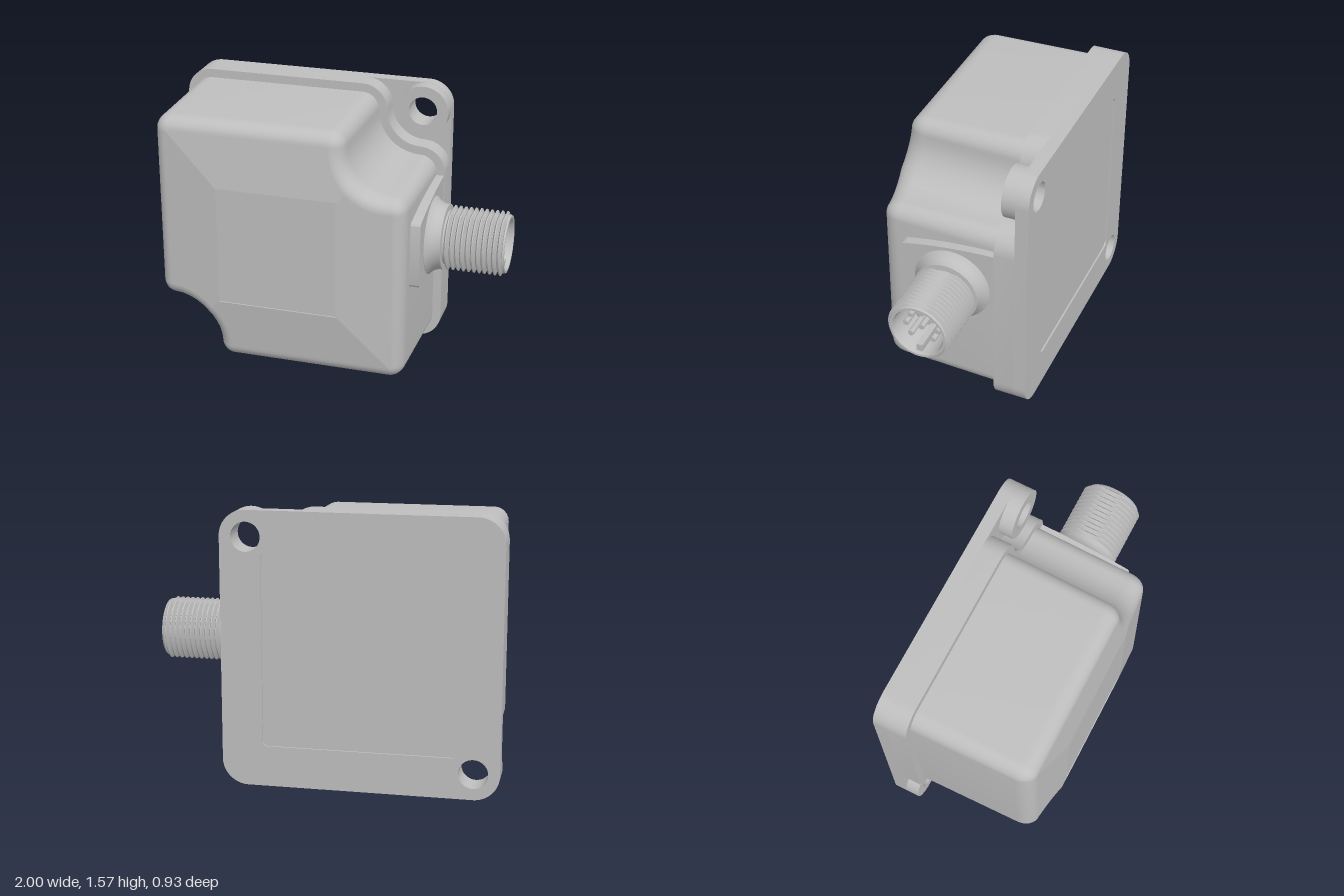
import * as THREE from 'three';
import { toCreasedNormals } from 'three/addons/utils/BufferGeometryUtils.js';

const CX = -0.2175, CY = 0.785;      // centre of the square housing
const C = 0.635, R = 0.0975, NOTCH = 0.25;
const LABEL = 0.347;                 // half size of the flat front panel
const HOLE = 0.083, BOSS = 0.147;

// Housing outline shrunk by d: square with two opposite corners scooped around the screw holes
function outline(d) {
  const half = [];
  const arc = (x, y, r, from, to) => {
    const n = 10;
    for (let i = 0; i <= n; i++) {
      const a = THREE.MathUtils.degToRad(from + ((to - from) * i) / n);
      half.push(new THREE.Vector2(x + r * Math.cos(a), y + r * Math.sin(a)));
    }
  };
  const r = Math.max(R - d, 0.003), inner = C - NOTCH - R;
  arc(C, -C, r, -90, 0);
  arc(C, inner, r, 0, 90);
  arc(C, C, NOTCH + d, 270, 180);
  arc(inner, C, r, 0, 90);
  return [...half, ...half.map((p) => new THREE.Vector2(-p.x, -p.y))];
}

// Skin a list of closed rings of Vector3
function loft(rings, crease) {
  const n = rings[0].length, index = [];
  for (let k = 0; k < rings.length - 1; k++) {
    for (let i = 0; i < n; i++) {
      const a = k * n + i, b = k * n + ((i + 1) % n);
      index.push(a, b, b + n, a, b + n, a + n);
    }
  }
  const geo = new THREE.BufferGeometry().setFromPoints(rings.flat());
  geo.setIndex(index);
  return toCreasedNormals(geo, crease);
}

function extrude(shape, depth) {
  const geo = new THREE.ExtrudeGeometry(shape, { depth, bevelEnabled: false, curveSegments: 32 });
  return toCreasedNormals(geo, 0.5);
}

function roundedSquare(h, r, Type = THREE.Shape) {
  const s = new Type(), k = h - r;
  s.absarc(k, -k, r, -Math.PI / 2, 0);
  s.absarc(k, k, r, 0, Math.PI / 2);
  s.absarc(-k, k, r, Math.PI / 2, Math.PI);
  s.absarc(-k, -k, r, Math.PI, Math.PI * 1.5);
  s.closePath();
  return s;
}

function circle(x, y, r, Type = THREE.Path) {
  const s = new Type();
  s.absarc(x, y, r, 0, Math.PI * 2);
  return s;
}

export function createModel() {
  const model = new THREE.Group();
  const grey = new THREE.MeshStandardMaterial({ color: 0xbebebe });
  grey.name = 'grey';
  const add = (name, geo, parent, x = 0, y = 0, z = 0) => {
    const mesh = new THREE.Mesh(geo, grey);
    mesh.name = name;
    mesh.position.set(x, y, z);
    parent.add(mesh);
    return mesh;
  };

  const housing = new THREE.Group();
  housing.name = 'housing';
  housing.position.set(CX, CY, 0);
  model.add(housing);

  // Mounting plate with a shallow recess in its back
  const plate = roundedSquare(0.7825, BOSS);
  plate.holes.push(circle(C, C, HOLE), circle(-C, -C, HOLE));
  add('mountingPlate', extrude(plate, 0.065), housing, 0, 0, -0.455);
  const backFrame = roundedSquare(0.7825, BOSS);
  backFrame.holes.push(circle(C, C, HOLE), circle(-C, -C, HOLE), roundedSquare(0.55, 0.03, THREE.Path));
  add('backFrame', extrude(backFrame, 0.01), housing, 0, 0, -0.465);

  // Raised rim and the two screw bosses
  add('rim', extrude(new THREE.Shape(outline(-0.05)), 0.12), housing, 0, 0, -0.39);
  for (const s of [1, -1]) {
    const boss = circle(s * C, s * C, BOSS, THREE.Shape);
    boss.holes.push(circle(s * C, s * C, HOLE));
    add('screwBoss', extrude(boss, 0.08), housing, 0, 0, -0.39);
  }

  // Cover: drafted walls and a rounded front edge
  const clampL = (v) => THREE.MathUtils.clamp(v, -LABEL, LABEL);
  const edge = outline(0.09).map((p) => {
    const out = Math.max(Math.abs(p.x), Math.abs(p.y)) - LABEL;
    return new THREE.Vector3(p.x, p.y, 0.465 - 0.12 * Math.max(out, 0));
  });
  const walls = [outline(0).map((p) => new THREE.Vector3(p.x, p.y, -0.27))];
  for (let k = 0; k <= 8; k++) {
    const t = (k / 8) * Math.PI / 2;
    const ring = outline(0.012 + 0.078 * (1 - Math.cos(t)));
    walls.push(ring.map((p, i) => new THREE.Vector3(p.x, p.y, 0.33 + (edge[i].z - 0.33) * Math.sin(t))));
  }
  add('cover', loft(walls, 0.7), housing);

  // Sloped front rising to a flat, slightly sunken panel
  const flat = (z, s) => edge.map((p) => new THREE.Vector3(clampL(p.x) * s, clampL(p.y) * s, z));
  add('slopedFront', loft([edge, flat(0.465, 1)], 0.05), housing);
  add('frontPanel', loft([flat(0.465, 1), flat(0.46, 0.997), flat(0.46, 0)], 0.05), housing);

  // Pad on the side wall under the connector
  const pad = new THREE.Shape();
  pad.moveTo(0.27, 0.265);
  pad.quadraticCurveTo(-0.02, 0.255, -0.27, 0.195);
  pad.quadraticCurveTo(-0.29, 0.19, -0.29, 0.17);
  pad.lineTo(-0.29, -0.17);
  pad.quadraticCurveTo(-0.29, -0.19, -0.27, -0.195);
  pad.quadraticCurveTo(-0.02, -0.255, 0.27, -0.265);
  pad.closePath();
  add('connectorPad', extrude(pad, 0.08).rotateY(Math.PI / 2), model, 0.48, 0.79, 0);

  // Threaded socket, axis along x
  const connector = new THREE.Group();
  connector.name = 'connector';
  connector.position.set(0, 0.79, -0.02);
  model.add(connector);
  const profile = [[0.225, 0.55], [0.225, 0.562], [0.207, 0.578], [0.194, 0.6], [0.188, 0.622],
    [0.188, 0.645], [0.155, 0.647]];
  const turns = 11, pitch = 0.03;
  for (let i = 0; i < turns; i++) {
    const x = 0.658 + i * pitch;
    profile.push([0.155, x], [0.184, x + 0.011], [0.184, x + 0.017], [0.155, x + 0.028]);
  }
  profile.push([0.168, 0.99], [0.163, 1], [0.15, 1], [0.143, 0.985], [0.143, 0.78], [0, 0.78]);
  const socket = new THREE.LatheGeometry(profile.map((p) => new THREE.Vector2(...p)), 64);
  socket.rotateZ(-Math.PI / 2);
  // Flats milled on the top and bottom of the thread
  const pos = socket.attributes.position;
  for (let i = 0; i < pos.count; i++) {
    if (pos.getX(i) > 0.646) pos.setY(i, THREE.MathUtils.clamp(pos.getY(i), -0.168, 0.168));
  }
  add('threadedSocket', toCreasedNormals(socket, 0.5), connector);

  // Contact pins: one in the centre, seven around it, and a key at the bottom
  const pin = new THREE.CylinderGeometry(0.016, 0.016, 0.17, 14).rotateZ(-Math.PI / 2);
  add('pin', pin, connector, 0.865);
  for (let i = 0; i < 7; i++) {
    const a = -Math.PI / 4 + (i * Math.PI) / 4;
    add('pin', pin, connector, 0.865, 0.092 * Math.sin(a), 0.092 * Math.cos(a));
  }
  add('key', new THREE.BoxGeometry(0.2, 0.045, 0.035), connector, 0.88, -0.122, 0);

  return model;
}
